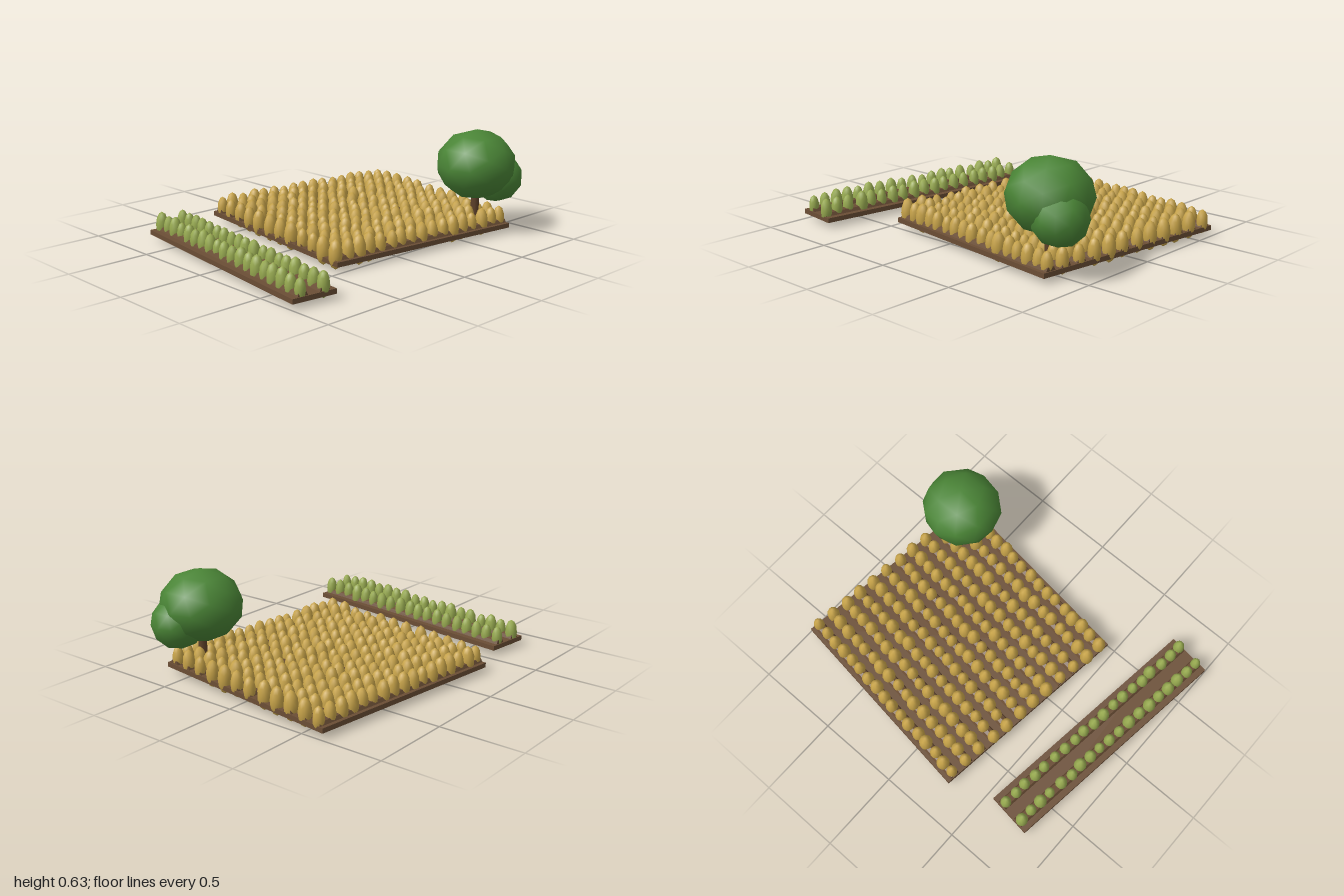
import * as THREE from 'three';
import { mergeGeometries } from 'three/addons/utils/BufferGeometryUtils.js';

const mat = (name, color, flatShading = false) => {
  const m = new THREE.MeshStandardMaterial({ color, flatShading });
  m.name = name;
  return m;
};

// small seeded generator for the natural variation of the plants
function seeded(seed) {
  let s = seed;
  return () => (s = (s * 16807) % 2147483647) / 2147483647;
}

const SLAB_BOTTOM = 0.036, SLAB_TOP = 0.064;

function add(parent, name, geometry, material, x = 0, y = 0, z = 0) {
  const mesh = new THREE.Mesh(geometry, material);
  mesh.name = name;
  mesh.position.set(x, y, z);
  parent.add(mesh);
  return mesh;
}

// a row of egg-shaped plants along x, merged into one geometry
function rowOfPlants(count, length, radius, height, rand) {
  const plants = [];
  for (let i = 0; i < count; i++) {
    const size = 0.88 + 0.24 * rand();
    const plant = new THREE.IcosahedronGeometry(1, 1);
    plant.rotateY(rand() * Math.PI * 2);
    plant.scale(radius * size, height * size, radius * size);
    plant.translate(
      -length / 2 + (length * i) / (count - 1) + (rand() - 0.5) * 0.014,
      0.093,
      (rand() - 0.5) * 0.012
    );
    plants.push(plant);
  }
  return mergeGeometries(plants);
}

// soil slab with evenly spaced ridges and one row of plants on each
function plantedBed(name, { length, depth, rows, count, radius, height, seed }, soil, leaf) {
  const bed = new THREE.Group();
  bed.name = name;
  const rand = seeded(seed);
  add(bed, 'soilSlab', new THREE.BoxGeometry(length, SLAB_TOP - SLAB_BOTTOM, depth), soil,
    0, (SLAB_TOP + SLAB_BOTTOM) / 2, 0);

  const ridge = new THREE.CylinderGeometry(1, 1, length * 0.99, 8);
  ridge.rotateZ(Math.PI / 2);
  ridge.scale(1, 0.028, 0.032);
  for (let r = 0; r < rows; r++) {
    const z = depth * ((r + 0.5) / rows - 0.5);
    add(bed, 'soilRidge', ridge, soil, 0, SLAB_TOP, z);
    add(bed, 'plantRow', rowOfPlants(count, length - 0.06, radius, height, rand), leaf, 0, 0, z);
  }
  return bed;
}

export function createModel() {
  const model = new THREE.Group();
  model.name = 'farmFields';

  const soil = mat('soil brown', 0x6b4e35, true);
  const wheat = mat('ripe yellow', 0xc8a449);
  const green = mat('young green', 0x98ab50);
  const foliage = mat('tree green', 0x4a8536);
  const bark = mat('bark brown', 0x5c4029);

  const tilt = -0.125;

  // large square field
  const field = plantedBed('yellowField',
    { length: 1.29, depth: 1.29, rows: 12, count: 17, radius: 0.037, height: 0.08, seed: 71 }, soil, wheat);
  field.position.set(0.27, 0, -0.07);
  field.rotation.y = tilt;
  model.add(field);

  // narrow bed beside it, rows running front to back
  const bed = plantedBed('greenBed',
    { length: 1.48, depth: 0.27, rows: 2, count: 19, radius: 0.034, height: 0.074, seed: 2024 }, soil, green);
  bed.position.set(-0.775, 0, 0.03);
  bed.rotation.y = tilt + Math.PI / 2;
  model.add(bed);

  // tree on the front corner of the field
  const tree = new THREE.Group();
  tree.name = 'tree';
  add(tree, 'trunk', new THREE.CylinderGeometry(0.022, 0.028, 0.26, 7), bark, 0.715, 0.19, 0.475);
  const crown = add(tree, 'mainCrown', new THREE.IcosahedronGeometry(1, 1), foliage, 0.715, 0.418, 0.475);
  crown.scale.set(0.243, 0.212, 0.24);
  const side = add(tree, 'sideCrown', new THREE.IcosahedronGeometry(1, 1), foliage, 0.835, 0.333, 0.537);
  side.scale.set(0.16, 0.155, 0.156);
  model.add(tree);

  return model;
}
